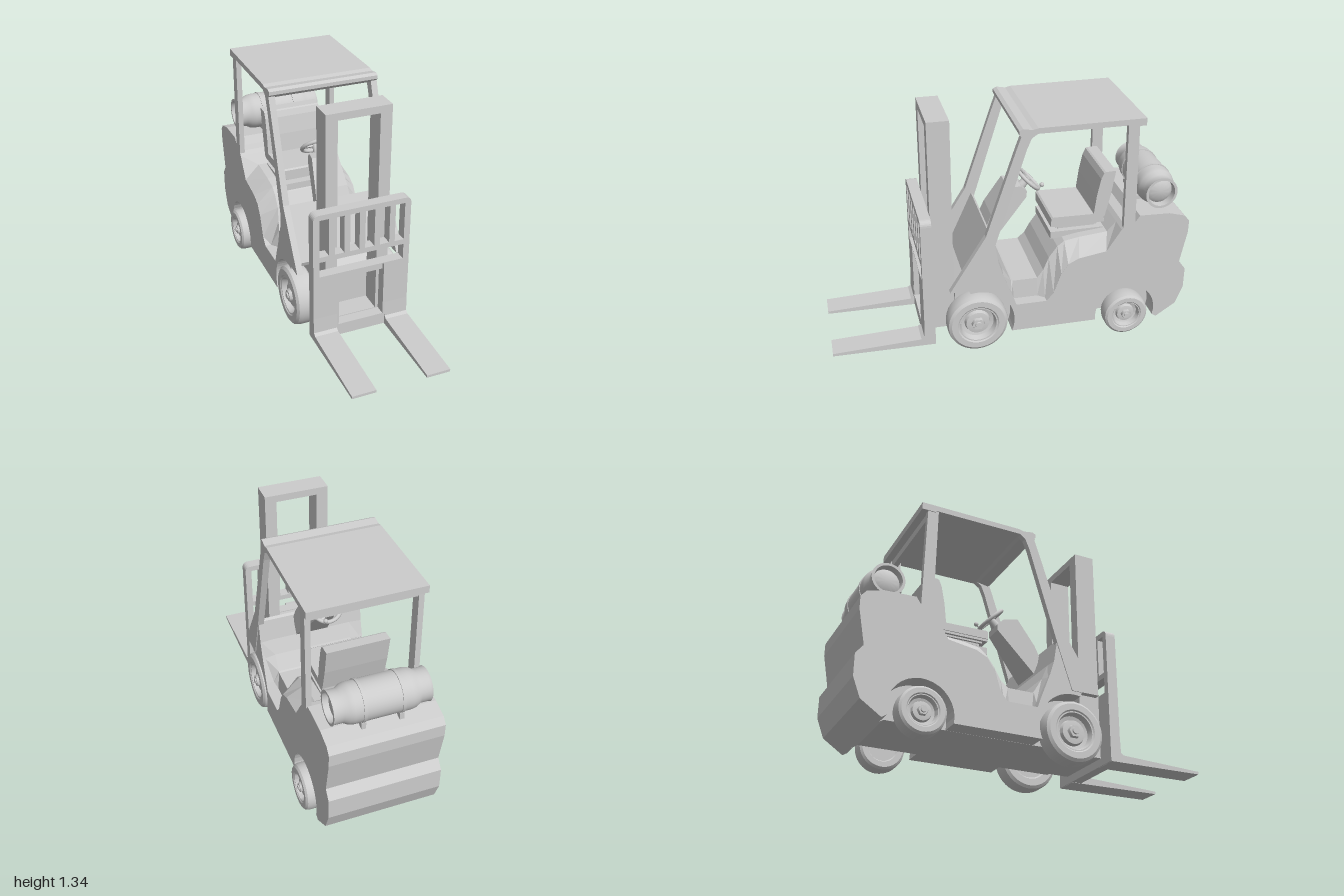
import * as THREE from 'three';
import { toCreasedNormals } from 'three/addons/utils/BufferGeometryUtils.js';

const mat = new THREE.MeshStandardMaterial({ color: 0xcccccc });
const thin = new THREE.MeshStandardMaterial({ color: 0xcccccc, side: THREE.DoubleSide });

export function createModel() {
  const model = new THREE.Group();
  const add = (name, geo, parent = model, material = mat) => {
    const m = new THREE.Mesh(geo, material);
    m.name = name;
    parent.add(m);
    return m;
  };
  // Box given by its limits
  const box = (name, x0, x1, y0, y1, z0, z1, parent) => add(name,
    new THREE.BoxGeometry(x1 - x0, y1 - y0, z1 - z0)
      .translate((x0 + x1) / 2, (y0 + y1) / 2, (z0 + z1) / 2), parent);
  // Side profile of [z, y] points, extruded from x0 to x1
  const sideGeo = (pts, x0, x1) => {
    const shape = new THREE.Shape(pts.map(p => new THREE.Vector2(p[0], p[1])));
    return new THREE.ExtrudeGeometry(shape, { depth: x1 - x0, bevelEnabled: false })
      .rotateY(-Math.PI / 2).translate(x1, 0, 0);
  };
  const side = (name, pts, x0, x1) => add(name, sideGeo(pts, x0, x1));
  const pair = (name, pts, x0, x1) => {
    side('left' + name, pts, x0, x1);
    side('right' + name, pts, -x1, -x0);
  };
  const arc = (cz, cy, r, a0, a1, n = 18) => Array.from({ length: n + 1 }, (_, i) => {
    const a = a0 + (a1 - a0) * i / n;
    return [cz + r * Math.cos(a), cy + r * Math.sin(a)];
  });
  const lathe = (pts, seg = 40, crease = 0.55) => toCreasedNormals(
    new THREE.LatheGeometry(pts.map(p => new THREE.Vector2(p[0], p[1])), seg), crease);

  // Body: solid core, plus side layers cut away around the wheels
  const top = [[0.12, 0.69], [0.107, 0.68], [0.085, 0.55], [0.06, 0.47], [0, 0.315],
    [-0.015, 0.27], [-0.187, 0.27], [-0.225, 0.315], [-0.267, 0.435], [-0.305, 0.49],
    [-0.365, 0.52], [-0.52, 0.545], [-0.6, 0.67], [-0.62, 0.69], [-0.67, 0.7], [-0.7, 0.745],
    [-0.87, 0.74], [-0.96, 0.715], [-0.99, 0.68], [-0.99, 0.61], [-0.955, 0.42], [-0.995, 0.37],
    [-0.995, 0.25], [-0.955, 0.145], [-0.845, 0.07]];
  side('bodyCore', [...top, [-0.8, 0.1], [0.31, 0.1], [0.31, 0.36], [0.25, 0.4]], -0.2, 0.2);
  pair('BodySide', [...top,
    ...arc(-0.65, 0.13, 0.175, Math.PI + 0.25, -0.17),
    ...arc(0.2, 0.175, 0.205, Math.PI + 0.37, Math.PI / 2 - 0.2), [0.25, 0.4]], 0.2, 0.305);

  // Raised floor and hood: stations [outer z, y, x, inner z, y, x]
  const stations = [[0.085, 0.55, 0.3, 0.085, 0.555, 0.23], [0.055, 0.455, 0.29, 0.05, 0.47, 0.23],
    [0, 0.315, 0.26, 0, 0.385, 0.23], [-0.015, 0.27, 0.24, -0.01, 0.38, 0.23],
    [-0.15, 0.27, 0.24, -0.15, 0.38, 0.23], [-0.187, 0.27, 0.27, -0.187, 0.42, 0.22],
    [-0.225, 0.315, 0.304, -0.22, 0.49, 0.21], [-0.267, 0.435, 0.304, -0.267, 0.555, 0.21],
    [-0.305, 0.49, 0.304, -0.305, 0.585, 0.21], [-0.365, 0.52, 0.304, -0.39, 0.6, 0.21],
    [-0.52, 0.545, 0.304, -0.55, 0.615, 0.21], [-0.6, 0.67, 0.304, -0.6, 0.672, 0.21]];
  const pos = [], idx = [];
  stations.forEach(([zo, yo, xo, zi, yi, xi], i) => {
    pos.push(-xo, yo, zo, -xi, yi, zi, xi, yi, zi, xo, yo, zo);
    if (i) for (let j = 0; j < 3; j++) {
      const a = (i - 1) * 4 + j, c = i * 4 + j;
      idx.push(a, a + 1, c, a + 1, c + 1, c);
    }
  });
  const strip = new THREE.BufferGeometry();
  strip.setAttribute('position', new THREE.Float32BufferAttribute(pos, 3));
  strip.setIndex(idx);
  const hood = strip.toNonIndexed();
  hood.computeVertexNormals();
  add('floorAndHood', hood, model, thin);

  // Overhead guard
  pair('FrontPost', [[0.353, 0.4], [0.155, 0.72], [-0.005, 1.2], [-0.035, 1.285], [-0.12, 1.285],
    [-0.085, 1.26], [-0.06, 1.2], [0.105, 0.66], [0.19, 0.4]], 0.275, 0.31);
  pair('RearPost', [[-0.6, 1.285], [-0.66, 1.285], [-0.675, 0.69], [-0.61, 0.67]], 0.275, 0.305);
  box('guardCrossbar', -0.28, 0.28, 1.235, 1.285, -0.655, -0.625);
  side('roof', [[-0.695, 1.275], [-0.695, 1.315], [-0.12, 1.313], [-0.09, 1.306], [-0.04, 1.315],
    [-0.02, 1.305], [-0.02, 1.285], [-0.04, 1.265], [-0.1, 1.275], [-0.12, 1.283],
    [-0.61, 1.283], [-0.62, 1.275]], -0.31, 0.31);

  // Steering column, tapering to the rear
  const col = sideGeo([[0.11, 0.66], [0.08, 0.73], [-0.015, 0.88], [-0.095, 0.87],
    [-0.13, 0.835], [-0.128, 0.8], [0.075, 0.56]], -1, 1);
  const cp = col.attributes.position;
  for (let i = 0; i < cp.count; i++) {
    cp.setX(i, cp.getX(i) * (0.055 + 0.045 * (cp.getZ(i) + 0.13) / 0.24));
  }
  col.computeVertexNormals();
  add('steeringColumn', col);

  // Steering wheel
  const steering = new THREE.Group();
  steering.name = 'steeringWheel';
  steering.position.set(0, 0.885, -0.147);
  steering.rotation.x = -Math.PI * 0.75;
  model.add(steering);
  add('rim', new THREE.TorusGeometry(0.08, 0.011, 10, 36), steering);
  add('hub', new THREE.CylinderGeometry(0.02, 0.028, 0.09, 16).rotateX(Math.PI / 2)
    .translate(0, 0, -0.035), steering);
  for (let i = 0; i < 3; i++) {
    add('spoke', new THREE.BoxGeometry(0.016, 0.08, 0.01).translate(0, 0.04, 0), steering)
      .rotation.z = Math.PI / 2 + i * Math.PI * 2 / 3;
  }
  add('knob', new THREE.SphereGeometry(0.013, 12, 8).translate(0.03, 0.075, 0.03), steering);
  add('knobStem', new THREE.CylinderGeometry(0.005, 0.005, 0.03, 8).rotateX(Math.PI / 2)
    .translate(0.03, 0.075, 0.015), steering);

  // Seat on a stepped suspension
  box('seatBase', -0.16, 0.16, 0.58, 0.62, -0.545, -0.24);
  for (let i = 0; i < 3; i++) {
    const d = 0.012 * i;
    box('seatBellows', -0.15 + d, 0.15 - d, 0.645 - 0.013 * i, 0.66 - 0.013 * i, -0.525 + d, -0.265 - d);
  }
  box('seatPan', -0.165, 0.165, 0.655, 0.672, -0.545, -0.24);
  side('seatCushion', [[-0.24, 0.668], [-0.24, 0.708], [-0.25, 0.715], [-0.54, 0.71], [-0.54, 0.668]],
    -0.17, 0.17);
  side('seatBack', [[-0.48, 0.69], [-0.495, 0.82], [-0.515, 0.92], [-0.53, 0.955], [-0.54, 0.96],
    [-0.597, 0.962], [-0.575, 0.82], [-0.545, 0.69]], -0.17, 0.17);

  // Gas tank with end collars, bands and cradle feet
  const tank = new THREE.Group();
  tank.name = 'gasTank';
  tank.position.set(0, 0.84, -0.837);
  tank.rotation.z = Math.PI / 2;
  model.add(tank);
  const half = [[0.105, 0.15], [0.1, 0.175], [0.086, 0.2], [0.086, 0.245], [0.09, 0.255],
    [0.076, 0.255], [0.072, 0.215], [0.05, 0.23], [0, 0.235]];
  add('shell', lathe([...half.map(([r, y]) => [r, -y]).reverse(), ...half]), tank, thin);
  for (const s of [-1, 1]) {
    add('band', new THREE.CylinderGeometry(0.109, 0.109, 0.016, 40).translate(0, s * 0.1, 0), tank);
    box('tankFoot', s * 0.1 - 0.012, s * 0.1 + 0.012, 0.72, 0.765, -0.92, -0.75);
  }

  // Mast
  for (const s of [-1, 1]) {
    box('mastUpright', s * 0.1475 - 0.0325, s * 0.1475 + 0.0325, 0.1, 1.3, 0.31, 0.43);
  }
  box('mastTop', -0.18, 0.18, 1.3, 1.34, 0.31, 0.43);
  box('mastBottom', -0.18, 0.18, 0.1, 0.13, 0.31, 0.43);

  // Carriage with load backrest
  const plate = new THREE.Shape();
  plate.moveTo(-0.275, 0.06).lineTo(0.275, 0.06).lineTo(0.275, 0.795)
    .quadraticCurveTo(0.275, 0.83, 0.24, 0.83).lineTo(-0.24, 0.83)
    .quadraticCurveTo(-0.275, 0.83, -0.275, 0.795).lineTo(-0.275, 0.06);
  const hole = (x0, x1, y0, y1) => plate.holes.push(new THREE.Path([[x0, y0], [x0, y1], [x1, y1], [x1, y0]]
    .map(p => new THREE.Vector2(...p))));
  for (let i = 0; i < 6; i++) {
    const x = (i - 2.5) * 0.0855;
    hole(x - 0.0265, x + 0.0265, 0.58, 0.8);
  }
  hole(-0.24, 0.24, 0.46, 0.55);
  hole(-0.13, 0.13, 0.13, 0.455);
  add('carriage', new THREE.ExtrudeGeometry(plate, { depth: 0.06, bevelEnabled: false, curveSegments: 6 })
    .translate(0, 0, 0.435));
  box('carriageCrossbar', -0.135, 0.135, 0.41, 0.442, 0.43, 0.475);
  pair('Fork', [[1, 0.065], [1, 0.08], [0.515, 0.1], [0.498, 0.112], [0.495, 0.2], [0.44, 0.2],
    [0.44, 0.058]], 0.142, 0.275);

  // Wheels: tyre, dished rim and hexagonal hub
  const wheel = (name, x, y, z, r, w, s) => {
    const g = new THREE.Group();
    g.name = name;
    g.position.set(s * x, y, z);
    g.rotation.z = -s * Math.PI / 2;
    model.add(g);
    const h = w / 2;
    add('tyre', lathe([[0, -h * 0.8], [r * 0.6, -h * 0.8], [r * 0.65, -h], [r * 0.88, -h],
      [r * 0.97, -h * 0.8], [r, -h * 0.45], [r, h * 0.45], [r * 0.97, h * 0.8], [r * 0.88, h],
      [r * 0.68, h], [r * 0.64, h * 0.9], [r * 0.6, h * 0.9], [r * 0.54, h * 0.35],
      [r * 0.42, h * 0.25], [r * 0.38, h * 0.6], [r * 0.27, h * 0.65], [0, h * 0.65]], 48), g);
    add('hub', new THREE.CylinderGeometry(r * 0.2, r * 0.24, h * 0.4, 6).translate(0, h * 0.75, 0), g);
    add('hubCap', new THREE.CylinderGeometry(r * 0.1, r * 0.12, h * 0.2, 12).translate(0, h * 0.98, 0), g);
  };
  for (const s of [1, -1]) {
    const n = s > 0 ? 'left' : 'right';
    wheel(n + 'FrontWheel', 0.258, 0.174, 0.2, 0.17, 0.115, s);
    wheel(n + 'RearWheel', 0.292, 0.13, -0.65, 0.127, 0.1, s);
  }
  return model;
}
